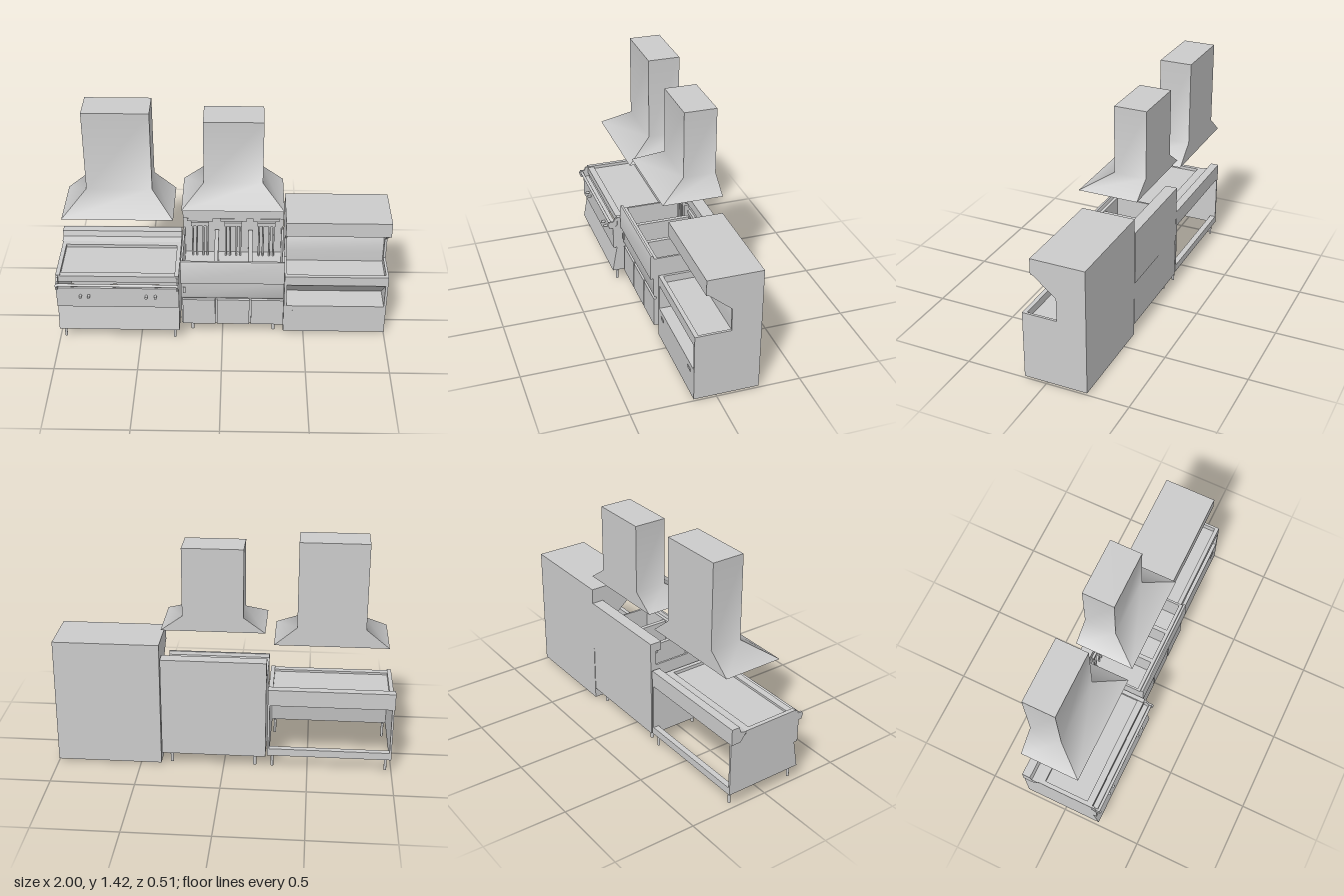
import * as THREE from 'three';
import { toCreasedNormals } from 'three/addons/utils/BufferGeometryUtils.js';

const grey = new THREE.MeshStandardMaterial({ color: 0xcccccc, side: THREE.DoubleSide });

function add(group, name, geometry) {
  const mesh = new THREE.Mesh(geometry, grey);
  mesh.name = name;
  group.add(mesh);
  return mesh;
}

// Box given by its limits on each axis
function box(group, name, x0, x1, y0, y1, z0, z1) {
  const g = new THREE.BoxGeometry(x1 - x0, y1 - y0, z1 - z0);
  g.translate((x0 + x1) / 2, (y0 + y1) / 2, (z0 + z1) / 2);
  return add(group, name, g);
}

// Side profile of [z, y] points, extruded along x
function profile(group, name, points, x0, x1) {
  const shape = new THREE.Shape(points.map(([z, y]) => new THREE.Vector2(-z, y)));
  const g = new THREE.ExtrudeGeometry(shape, { depth: x1 - x0, bevelEnabled: false });
  g.rotateY(Math.PI / 2);
  g.translate(x0, 0, 0);
  return add(group, name, toCreasedNormals(g, 0.5));
}

function rod(group, name, r, x, y0, y1, z) {
  const g = new THREE.CylinderGeometry(r, r, y1 - y0, 16);
  g.translate(x, (y0 + y1) / 2, z);
  return add(group, name, g);
}

function legs(group, name, r, xs, zs, top) {
  for (const x of xs) for (const z of zs) rod(group, name, r, x, 0, top, z);
}

// Open-bottomed extractor hood: four walls, each smooth over its bend, and a lid
function hood(name, flare, duct, [y0, y1, y2]) {
  const group = new THREE.Group();
  group.name = name;
  const back = -0.255;
  const ring = ([xa, xb], y, front) => [[xa, y, front], [xb, y, front], [xb, y, back], [xa, y, back]];
  const rings = [ring(flare, y0, 0.105), ring(duct, y1, -0.06), ring(duct, y2, -0.06)];
  ['front', 'left', 'back', 'right'].forEach((side, i) => {
    const g = new THREE.BufferGeometry();
    const pos = rings.flatMap((r) => [...r[i], ...r[(i + 1) % 4]]);
    g.setAttribute('position', new THREE.Float32BufferAttribute(pos, 3));
    g.setIndex([0, 1, 3, 0, 3, 2, 2, 3, 5, 2, 5, 4]);
    g.computeVertexNormals();
    add(group, 'hood ' + side, g);
  });
  const lid = new THREE.PlaneGeometry(duct[1] - duct[0], 0.195).rotateX(-Math.PI / 2);
  lid.translate((duct[0] + duct[1]) / 2, y2, -0.1575);
  add(group, 'hood lid', lid);
  return group;
}

function griddle() {
  const g = new THREE.Group();
  g.name = 'griddle';
  const x0 = -0.995, x1 = -0.26;
  // Open-backed shell
  const side = [[-0.25, 0.09], [0.235, 0.09], [0.205, 0.26], [0.228, 0.26], [0.228, 0.4], [0.19, 0.43], [-0.25, 0.43]];
  profile(g, 'side panel', side, x0, x0 + 0.012);
  profile(g, 'side panel', side, x1 - 0.012, x1);
  profile(g, 'lower front panel', [[0.225, 0.09], [0.235, 0.09], [0.205, 0.26], [0.195, 0.26]], x0 + 0.012, x1 - 0.012);
  box(g, 'control panel', x0 + 0.012, x1 - 0.012, 0.26, 0.4, 0.195, 0.228);
  box(g, 'lower rear beam', x0, x1, 0.09, 0.135, -0.25, -0.215);
  // Cooking plate with raised rim and splashback
  box(g, 'cooking plate', x0, x1, 0.425, 0.455, -0.2, 0.2);
  box(g, 'rim', x0, x0 + 0.025, 0.455, 0.475, -0.15, 0.2);
  box(g, 'rim', x1 - 0.025, x1, 0.455, 0.475, -0.15, 0.2);
  box(g, 'front rim', x0 + 0.025, x1 - 0.025, 0.455, 0.468, 0.16, 0.2);
  box(g, 'rear rim', x0 + 0.025, x1 - 0.025, 0.455, 0.475, -0.15, -0.115);
  profile(g, 'splashback', [[-0.25, 0.42], [-0.19, 0.42], [-0.15, 0.475], [-0.19, 0.485], [-0.2, 0.52], [-0.25, 0.52]], x0 - 0.005, x1);
  // Front rail held by end brackets
  const bracket = [[0.18, 0.42], [0.225, 0.4], [0.25, 0.4], [0.26, 0.43], [0.25, 0.445], [0.225, 0.445], [0.215, 0.465], [0.195, 0.47], [0.18, 0.455]];
  profile(g, 'rail bracket', bracket, x0 + 0.002, x0 + 0.014);
  profile(g, 'rail bracket', bracket, x1 - 0.014, x1 - 0.002);
  const rail = new THREE.CylinderGeometry(0.009, 0.009, x1 - x0 - 0.02, 16).rotateZ(Math.PI / 2);
  add(g, 'front rail', rail.translate((x0 + x1) / 2, 0.43, 0.241));
  for (const x of [-0.85, -0.8, -0.455, -0.4]) {
    const knob = new THREE.CylinderGeometry(0.008, 0.008, 0.025, 16).rotateX(Math.PI / 2);
    add(g, 'knob', knob.translate(x, 0.345, 0.24));
  }
  legs(g, 'leg', 0.008, [-0.963, -0.29], [0.2, -0.225], 0.09);
  for (const leg of g.children.filter((m) => m.name === 'leg')) leg.position.y = 0.012;
  return g;
}

function fryer() {
  const g = new THREE.Group();
  g.name = 'fryer';
  const x0 = -0.25, x1 = 0.37;
  // Cabinet under the tanks
  box(g, 'cabinet', x0, x1, 0.08, 0.36, -0.25, 0.145);
  box(g, 'side wall', x0, x0 + 0.012, 0.36, 0.545, -0.25, 0.165);
  box(g, 'side wall', x1 - 0.012, x1, 0.36, 0.545, -0.25, 0.165);
  for (const x of [-0.04, 0.167]) {
    box(g, 'tank divider', x - 0.012, x + 0.012, 0.36, 0.54, -0.2, 0.14);
  }
  profile(g, 'front panel', [[0.14, 0.28], [0.155, 0.28], [0.165, 0.3], [0.165, 0.41], [0.183, 0.41], [0.183, 0.555],
    [0.178, 0.565], [0.165, 0.565], [0.16, 0.545], [0.14, 0.545]], x0, x1);
  for (let i = 0; i < 3; i++) {
    const x = x0 + 0.008 + i * 0.208;
    box(g, 'door', x, x + 0.198, 0.085, 0.27, 0.145, 0.163);
  }
  box(g, 'handle', -0.238, -0.223, 0.33, 0.37, 0.165, 0.173);
  // Back panel, overhanging cap and basket hangers
  box(g, 'back panel', x0, x1, 0.36, 0.69, -0.253, -0.215);
  box(g, 'back cap', x0, x1, 0.635, 0.69, -0.215, -0.18);
  for (const x of [-0.145, 0.06, 0.265]) {
    box(g, 'hanger bar', x - 0.08, x + 0.08, 0.61, 0.63, -0.215, -0.185);
    box(g, 'hanger plate', x - 0.055, x + 0.055, 0.585, 0.61, -0.205, -0.17);
    for (const dx of [-0.045, -0.02, 0.02, 0.045]) rod(g, 'heating rod', 0.006, x + dx, 0.36, 0.59, -0.18);
  }
  legs(g, 'leg', 0.01, [-0.185, 0.315], [0.1, -0.2], 0.08);
  return g;
}

function servingStation() {
  const g = new THREE.Group();
  g.name = 'serving station';
  const x0 = 0.375, x1 = 1, t = 0.015;
  const side = [[-0.25, 0.012], [0.135, 0.012], [0.135, 0.43], [-0.075, 0.43], [-0.075, 0.57], [0.05, 0.675],
    [0.06, 0.682], [0.075, 0.685], [0.075, 0.78], [-0.25, 0.78]];
  profile(g, 'side panel', side, x0, x0 + t);
  profile(g, 'side panel', side, x1 - t, x1);
  // Drawer front, sloping recess, basin, curved back and canopy
  profile(g, 'body', [[-0.25, 0.012], [0.135, 0.012], [0.135, 0.21], [-0.02, 0.21], [0.135, 0.368], [0.135, 0.43],
    [0.11, 0.43], [0.11, 0.385], [-0.1, 0.385], [-0.1, 0.46], [-0.105, 0.51], [-0.122, 0.56], [-0.15, 0.605],
    [-0.18, 0.64], [-0.2, 0.685], [0.075, 0.685], [0.075, 0.78], [-0.25, 0.78]], x0 + t, x1 - t);
  for (const x of [0.45, 0.92]) box(g, 'drawer handle', x - 0.022, x + 0.022, 0.162, 0.178, 0.135, 0.138);
  legs(g, 'foot', 0.012, [0.43, 0.945], [0.09, -0.2], 0.012);
  return g;
}

export function createModel() {
  const model = new THREE.Group();
  model.name = 'kitchen line';
  model.add(
    griddle(), fryer(), servingStation(),
    hood('griddle hood', [-0.945, -0.29], [-0.81, -0.42], [0.81, 0.92, 1.425]),
    hood('fryer hood', [-0.24, 0.36], [-0.115, 0.235], [0.88, 0.97, 1.375]),
  );
  return model;
}
